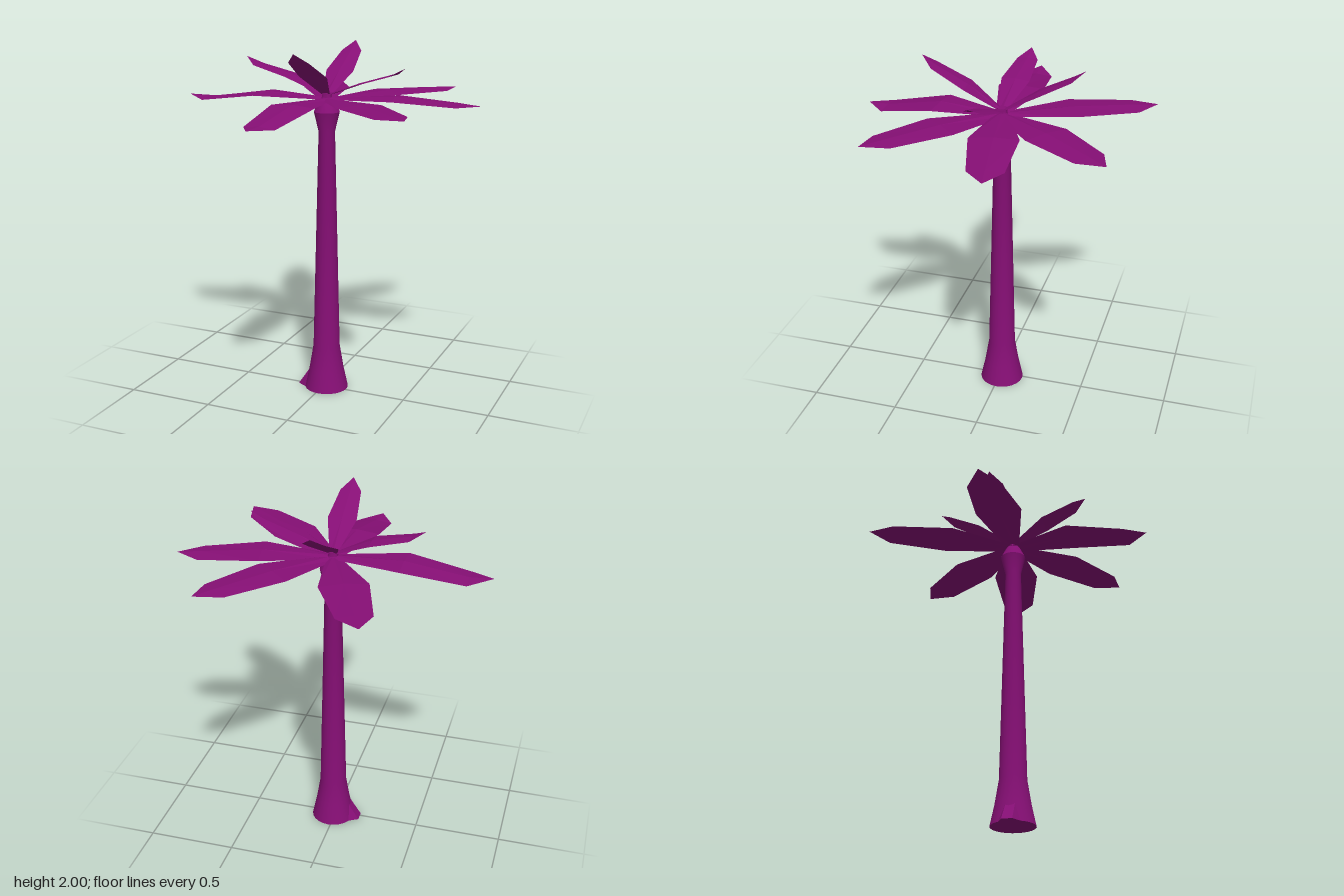
import * as THREE from 'three';
import { ConvexGeometry } from 'three/addons/geometries/ConvexGeometry.js';
import { toCreasedNormals } from 'three/addons/utils/BufferGeometryUtils.js';

const COLOR = 0x860f75;
const CENTER = { x: 0.015, z: -0.012 };

// A leaf is a strip of cross-sections (left edge, raised midrib, right edge).
// Radii run outward from the trunk axis; heights follow the leaf's arch.
function leafGeometry(radii, halfWidths, heights, fold, roll) {
  const points = [];
  const index = [];
  radii.forEach((r, i) => {
    const w = halfWidths[i];
    const edge = heights[i] - (w > 0 ? fold : 0);
    points.push(r, edge + w * roll, -w, r, heights[i], 0, r, edge - w * roll, w);
    if (i === 0) return;
    for (let k = 0; k < 2; k++) {
      const a = (i - 1) * 3 + k, b = a + 3;
      index.push(a, a + 1, b + 1);
      if (w > 0 || k === 0) index.push(a, b + 1, b);
      else index.push(a + 1, b + 1, b);
    }
  });
  // Tip corners coincide, so the zero-area triangles there draw nothing
  const geometry = new THREE.BufferGeometry();
  geometry.setAttribute('position', new THREE.Float32BufferAttribute(points, 3));
  geometry.setIndex(index);
  const flat = geometry.toNonIndexed();
  flat.computeVertexNormals();
  return flat;
}

export function createModel() {
  const tree = new THREE.Group();
  tree.name = 'palmTree';
  const trunkMaterial = new THREE.MeshStandardMaterial({ color: COLOR });
  const leafMaterial = new THREE.MeshStandardMaterial({
    color: COLOR, side: THREE.DoubleSide, flatShading: true,
  });

  // Trunk: flared foot, long taper, swollen crown and small cap
  const profile = [
    [0, 0], [0.126, 0], [0.1, 0.12], [0.077, 0.26], [0.046, 1.53],
    [0.072, 1.64], [0.045, 1.695], [0.028, 1.72], [0.028, 1.745], [0, 1.745],
  ].map(([r, y]) => new THREE.Vector2(r, y));
  const trunk = new THREE.Mesh(
    toCreasedNormals(new THREE.LatheGeometry(profile, 24), Math.PI / 5), trunkMaterial);
  trunk.name = 'trunk';
  trunk.position.set(CENTER.x, 0, CENTER.z);
  tree.add(trunk);

  // Root bulging from one side of the foot
  const root = new THREE.Mesh(new ConvexGeometry([
    [-0.07, 0.12, -0.03], [-0.07, 0.12, 0.02], [-0.15, 0, -0.04], [-0.15, 0, 0.02],
    [-0.06, 0, -0.09], [-0.06, 0, 0.07], [0, 0.12, -0.01],
  ].map((p) => new THREE.Vector3(...p))), trunkMaterial);
  root.name = 'root';
  tree.add(root);

  function addLeaf(name, tip, radii, widths, heights, fold, roll) {
    const dx = tip[0] - CENTER.x, dz = tip[1] - CENTER.z;
    const length = Math.hypot(dx, dz);
    const leaf = new THREE.Mesh(
      leafGeometry(radii.map((r) => r * length), widths, heights, fold, roll), leafMaterial);
    leaf.name = name;
    leaf.position.set(CENTER.x, 0, CENTER.z);
    leaf.rotation.y = Math.atan2(-dz, dx);
    tree.add(leaf);
  }

  // Wide outer leaves: tip x and z, then heights from base to tip
  [
    [[-0.85, -0.01], [1.72, 1.732, 1.682, 1.688]],
    [[-0.33, -0.795], [1.715, 1.732, 1.725, 1.72]],
    [[0.55, -0.685], [1.715, 1.732, 1.725, 1.72]],
    [[0.85, -0.155], [1.72, 1.735, 1.71, 1.7]],
    [[0.66, 0.545], [1.715, 1.732, 1.725, 1.72]],
    [[-0.07, 0.79], [1.715, 1.728, 1.664, 1.66]],
  ].forEach(([tip, heights], i) => addLeaf('outerLeaf' + (i + 1), tip,
    [0, 0.45, 0.85, 1], [0.035, 0.132, 0.094, 0], heights, 0.01, 0));

  // Narrow inner leaves pointing upward
  [
    [[-0.49, -0.04], [1.735, 1.835, 1.885, 1.92]],
    [[0.485, 0.03], [1.735, 1.81, 1.87, 1.905]],
    [[0.005, -0.46], [1.735, 1.85, 1.945, 1.99]],
    [[0.02, 0.43], [1.735, 1.86, 1.955, 2.0]],
  ].forEach(([tip, heights], i) => addLeaf('innerLeaf' + (i + 1), tip,
    [0, 0.43, 0.85, 1], [0.02, 0.081, 0.059, 0], heights, 0.008, 0));

  return tree;
}
